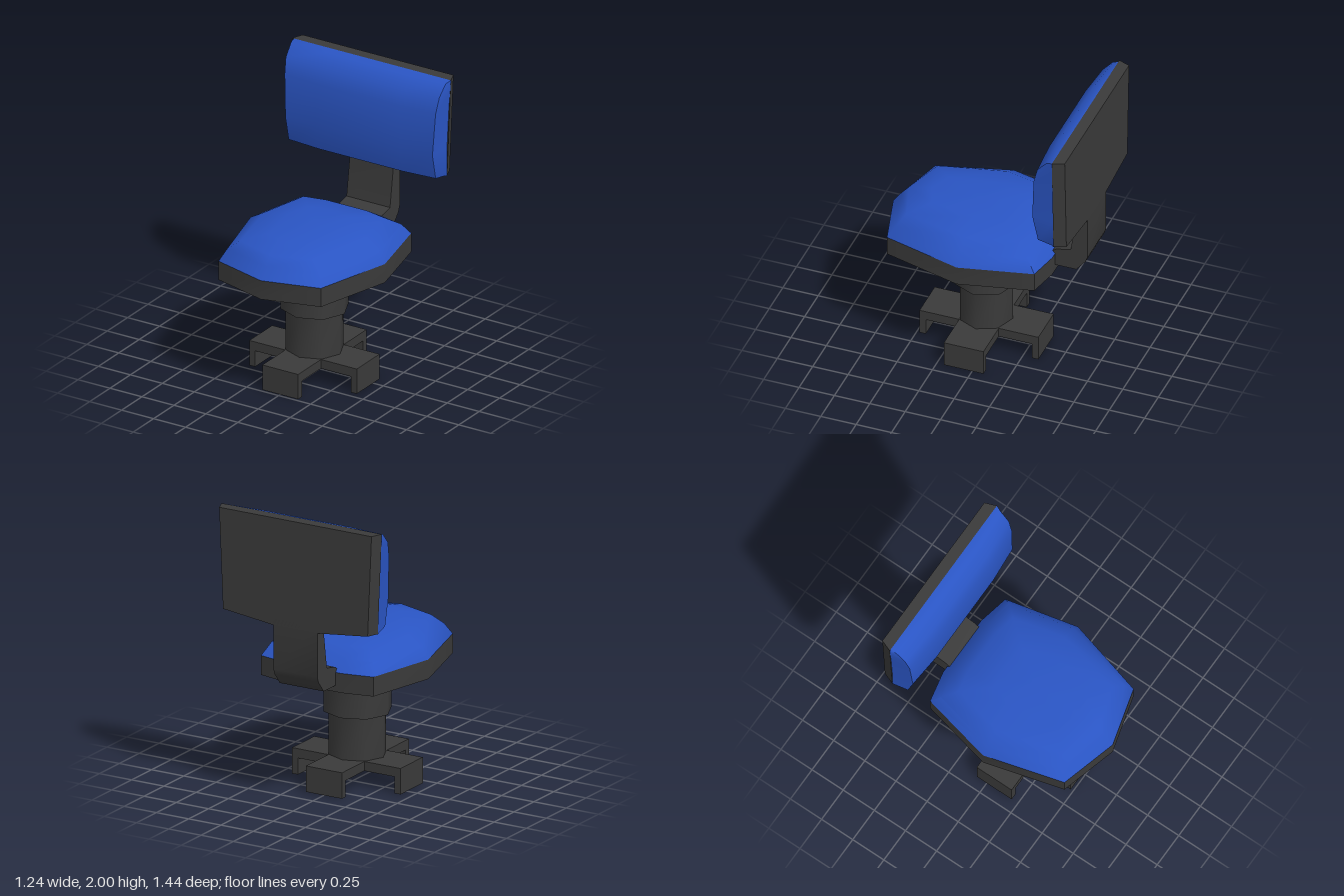
import * as THREE from 'three';
import { toCreasedNormals } from 'three/addons/utils/BufferGeometryUtils.js';

const CENTRE_Z = 0.06; // axis of seat, column and base
const black = new THREE.MeshStandardMaterial({ color: 0x3a3a3a });
const blue = new THREE.MeshStandardMaterial({ color: 0x2a55c4 });

function part(name, geometry, material, crease = 0.75) {
  const mesh = new THREE.Mesh(toCreasedNormals(geometry, crease), material);
  mesh.name = name;
  return mesh;
}

// Closed solid through rings of [x, y, z], each running front -> +x -> back -> -x, bottom ring first
function loft(rings) {
  const n = rings[0].length;
  const points = rings.flat();
  const index = [];
  for (let i = 0; i < rings.length - 1; i++) {
    for (let j = 0; j < n; j++) {
      const a = i * n + j, b = i * n + (j + 1) % n;
      index.push(a, b, b + n, a, b + n, a + n);
    }
  }
  [0, rings.length - 1].forEach((r) => {
    const c = points.length;
    points.push([0, 1, 2].map((k) => rings[r].reduce((s, p) => s + p[k], 0) / n));
    for (let j = 0; j < n; j++) {
      const a = r * n + j, b = r * n + (j + 1) % n;
      index.push(...(r === 0 ? [c, b, a] : [c, a, b]));
    }
  });
  const geometry = new THREE.BufferGeometry();
  geometry.setAttribute('position', new THREE.Float32BufferAttribute(points.flat(), 3));
  geometry.setIndex(index);
  return geometry;
}

// Outline extruded by depth and centred on its own plane
function slab(outline, depth) {
  const shape = new THREE.Shape(outline.map(([x, y]) => new THREE.Vector2(x, y)));
  return new THREE.ExtrudeGeometry(shape, { depth, bevelEnabled: false }).translate(0, 0, -depth / 2);
}

function createSeat() {
  const seat = new THREE.Group();
  seat.name = 'seat';
  const half = [[0.4, 0.61], [0.55, 0.06], [0.435, -0.445], [0.22, -0.49]];
  const outline = [[0, 0.72], ...half, ...half.slice().reverse().map(([x, z]) => [-x, z])];
  // Outline shrunk towards the axis, separately sideways, forwards and backwards
  const ring = ([y, sx, sf, sb]) => outline.map(([x, z]) => {
    const d = z - CENTRE_Z;
    return [x * sx, y, CENTRE_Z + d * (d > 0 ? sf : sb)];
  });
  seat.add(part('seatPan', loft([[0.785, 1, 1, 1], [0.92, 1, 1, 1]].map(ring)), black));
  seat.add(part('seatCushion', loft([
    [0.92, 1, 1, 1], [1.0, 0.91, 0.91, 0.88], [1.06, 0.72, 0.83, 0.71], [1.095, 0.38, 0.59, 0.35],
  ].map(ring)), blue, 0.9));
  return seat;
}

function createBackrest() {
  const back = new THREE.Group();
  back.name = 'backrest';

  // Rear panel, narrowing towards the back and dipping to meet the arm
  const panel = slab([
    [-0.62, 2], [-0.59, 1.3], [-0.17, 1.255], [0.17, 1.255], [0.59, 1.3], [0.62, 2],
  ], 0.08).translate(0, 0, -0.68);
  const p = panel.attributes.position;
  for (let i = 0; i < p.count; i++) {
    if (p.getZ(i) < -0.7 && Math.abs(p.getX(i)) > 0.3) p.setX(i, p.getX(i) - Math.sign(p.getX(i)) * 0.03);
  }
  back.add(part('backPanel', panel, black));

  // Bulging cushion: height, half width, front depth
  const rows = [
    [1.3, 0.59, -0.6], [1.32, 0.59, -0.505], [1.5, 0.59, -0.465], [1.8, 0.605, -0.48],
    [1.91, 0.615, -0.51], [1.985, 0.62, -0.58], [2, 0.62, -0.635],
  ];
  back.add(part('backCushion', loft(rows.map(([y, w, z]) => {
    const side = Math.max(z - 0.02, -0.64);
    return [[0.33, y, z], [w - 0.015, y, side], [w, y, -0.64],
      [-w, y, -0.64], [-w + 0.015, y, side], [-0.33, y, z]];
  })), blue, 0.9));

  // Bent arm joining seat and panel, drawn as z, y
  const arm = slab([
    [-0.44, 0.83], [-0.44, 0.92], [-0.5, 0.96], [-0.6, 0.98], [-0.64, 1.25], [-0.64, 1.3],
    [-0.72, 1.3], [-0.72, 0.95], [-0.705, 0.91], [-0.64, 0.83],
  ], 0.34).rotateY(-Math.PI / 2);
  back.add(part('backArm', arm, black));
  return back;
}

function createColumn() {
  const column = new THREE.Group();
  column.name = 'column';
  // Octagonal sections: name, radius, bottom, top
  [
    ['lowerColumn', 0.2, 0.17, 0.49],
    ['upperSleeve', 0.235, 0.48, 0.765],
    ['collar', 0.22, 0.76, 0.79],
  ].forEach(([name, r, y0, y1]) => {
    const geometry = new THREE.CylinderGeometry(r, r, y1 - y0, 8)
      .scale(1, 1, 0.94).translate(0, (y0 + y1) / 2, CENTRE_Z);
    column.add(part(name, geometry, black, 0.9));
  });
  return column;
}

function createBase() {
  const base = new THREE.Group();
  base.name = 'base';
  base.position.z = CENTRE_Z;
  base.add(part('hub', new THREE.BoxGeometry(0.28, 0.065, 0.28).translate(0, 0.1475, 0), black));
  // Four legs, each with a turned-down foot
  for (let i = 0; i < 4; i++) {
    const leg = part('leg', slab([
      [0.14, 0.115], [0.375, 0.115], [0.375, 0], [0.42, 0], [0.42, 0.18], [0.14, 0.18],
    ], 0.28), black);
    leg.rotation.y = i * Math.PI / 2;
    base.add(leg);
  }
  return base;
}

export function createModel() {
  const chair = new THREE.Group();
  chair.name = 'officeChair';
  chair.add(createSeat(), createBackrest(), createColumn(), createBase());
  return chair;
}
